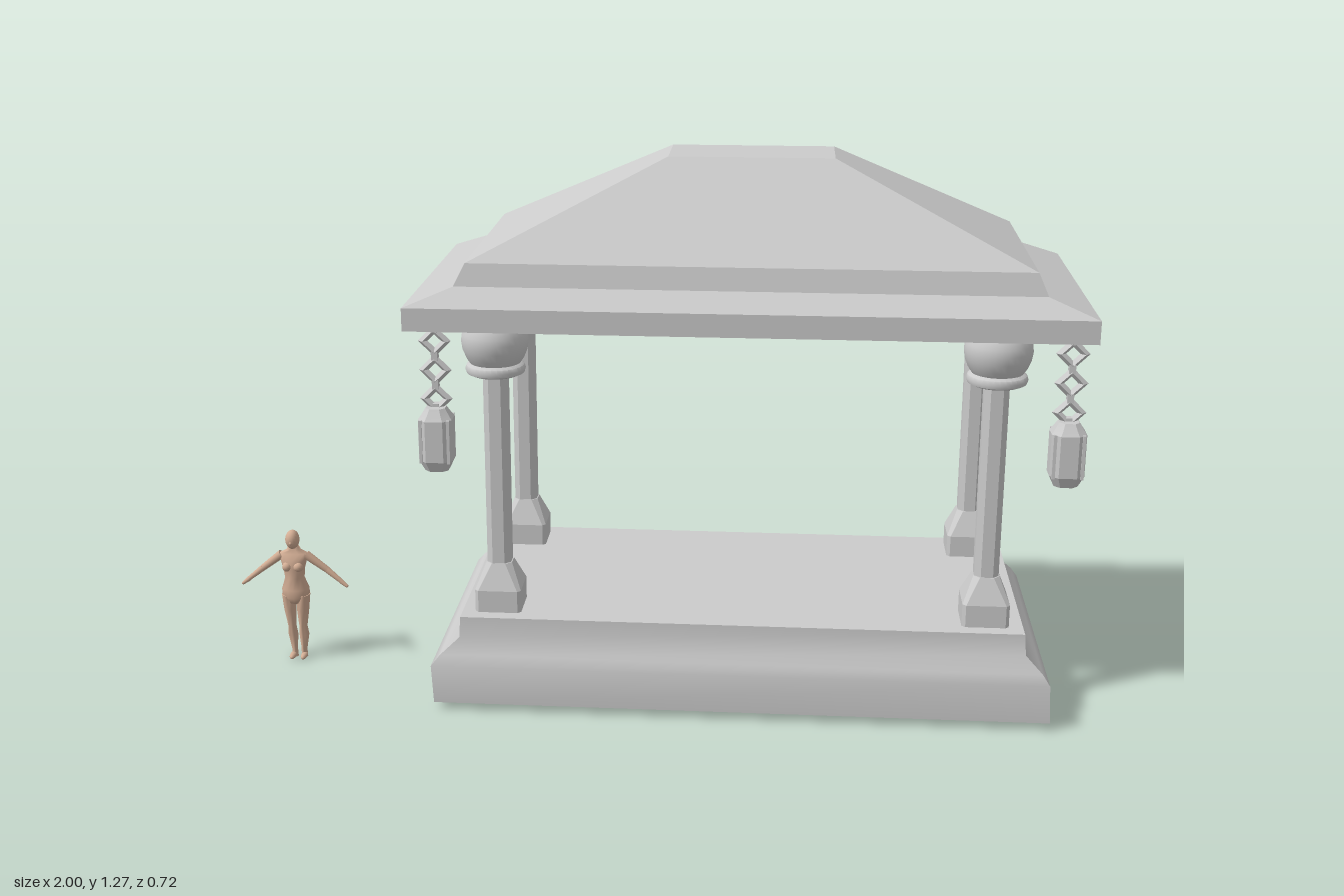
import * as THREE from 'three';
import { toCreasedNormals } from 'three/addons/utils/BufferGeometryUtils.js';

const stone = new THREE.MeshStandardMaterial({ color: 0xcccccc });
const skin = new THREE.MeshStandardMaterial({ color: 0xd2ad94 });

function add(parent, name, geometry, material = stone) {
  const mesh = new THREE.Mesh(geometry, material);
  mesh.name = name;
  parent.add(mesh);
  return mesh;
}

// Skin a stack of cross-sections (each a loop of [x, y, z], bottom to top) and cap both ends
function loft(rings, crease) {
  const n = rings[0].length, index = [], last = (rings.length - 1) * n;
  for (let i = 0; i < rings.length - 1; i++) {
    for (let j = 0; j < n; j++) {
      const a = i * n + j, b = i * n + (j + 1) % n;
      index.push(a, b, b + n, a, b + n, a + n);
    }
  }
  for (let j = 1; j < n - 1; j++) {
    index.push(0, j + 1, j, last, last + j, last + j + 1);
  }
  const g = new THREE.BufferGeometry();
  g.setAttribute('position', new THREE.Float32BufferAttribute(rings.flat(2), 3));
  g.setIndex(index);
  return toCreasedNormals(g, crease);
}

// Cross-section loops, counter-clockwise seen from above
const rect = ([y, x0, x1, z0, z1]) => [[x0, y, z1], [x1, y, z1], [x1, y, z0], [x0, y, z0]];
const chamfered = ([y, h, c]) => [
  [-h + c, y, h], [h - c, y, h], [h, y, h - c], [h, y, -h + c],
  [h - c, y, -h], [-h + c, y, -h], [-h, y, -h + c], [-h, y, h - c]];
const ellipse = ([x, y, z, rx, rz]) => Array.from({ length: 14 }, (_, i) => {
  const t = i / 14 * Math.PI * 2;
  return [x + rx * Math.sin(t), y, z + rz * Math.cos(t)];
});

function createColumn() {
  const column = new THREE.Group();
  add(column, 'columnFoot', loft([
    [0.222, 0.054, 0.008], [0.275, 0.054, 0.008], [0.335, 0.03, 0.014]].map(chamfered), 0.3));
  add(column, 'columnShaft', loft([[0.33, 0.028, 0.014], [0.8, 0.028, 0.014]].map(chamfered), 0.3));
  // Collar, rounded bowl and flat disc turned as one profile
  const profile = [
    [0, 0.79], [0.055, 0.79], [0.066, 0.795], [0.069, 0.804], [0.066, 0.813], [0.058, 0.818],
    [0.066, 0.83], [0.074, 0.85], [0.077, 0.87], [0.075, 0.885], [0.069, 0.9], [0.064, 0.908],
    [0.095, 0.911], [0.113, 0.917], [0.113, 0.922], [0, 0.925]];
  add(column, 'columnCapital', toCreasedNormals(
    new THREE.LatheGeometry(profile.map(([r, y]) => new THREE.Vector2(r, y)), 32), 0.7));
  return column;
}

function createLantern() {
  const lantern = new THREE.Group();
  // Diamond links alternate with small cross-turned connectors
  for (let i = 0; i < 3; i++) {
    const link = add(lantern, 'chainLink',
      toCreasedNormals(new THREE.TorusGeometry(0.026, 0.011, 4, 4), 0.3));
    link.position.set(0, 0.895 - i * 0.066, -0.007);
  }
  for (const y of [0.926, 0.862, 0.796, 0.742]) {
    add(lantern, 'chainConnector', new THREE.BoxGeometry(0.014, 0.02, 0.02)).position.set(0, y, -0.007);
  }
  add(lantern, 'lanternBody', loft([
    [0.6, 0.026, 0.013], [0.625, 0.038, 0.018], [0.72, 0.038, 0.018],
    [0.732, 0.03, 0.015], [0.745, 0.022, 0.011]].map(chamfered), 0.3));
  // Raised corner bars and rims
  for (const sx of [-1, 1]) for (const sz of [-1, 1]) {
    add(lantern, 'lanternBar', new THREE.BoxGeometry(0.007, 0.1, 0.007))
      .position.set(sx * 0.031, 0.672, sz * 0.031);
  }
  return lantern;
}

function limb(parent, name, a, b, ra, rb) {
  const p = new THREE.Vector3(...a), q = new THREE.Vector3(...b);
  const mesh = add(parent, name, new THREE.CylinderGeometry(rb, ra, p.distanceTo(q), 12), skin);
  mesh.position.copy(p).add(q).multiplyScalar(0.5);
  mesh.quaternion.setFromUnitVectors(new THREE.Vector3(0, 1, 0), q.clone().sub(p).normalize());
  const joint = add(parent, name + 'Joint', new THREE.SphereGeometry(rb, 12, 8), skin);
  joint.position.copy(q);
}

function createFigure() {
  const figure = new THREE.Group();
  figure.name = 'figure';
  add(figure, 'torso', loft([
    [0, 0.15, 0, 0.02, 0.018], [0, 0.165, -0.002, 0.034, 0.026], [0, 0.185, -0.003, 0.034, 0.025],
    [0, 0.215, 0, 0.024, 0.018], [0, 0.24, 0.002, 0.027, 0.02], [0, 0.262, 0, 0.033, 0.02],
    [0, 0.278, -0.003, 0.036, 0.015], [0, 0.286, -0.004, 0.018, 0.012],
    [0, 0.305, -0.002, 0.01, 0.011]].map(ellipse), 1.2), skin);
  const head = add(figure, 'head', new THREE.SphereGeometry(1, 18, 14), skin);
  head.scale.set(0.017, 0.024, 0.021);
  head.position.set(0, 0.315, 0.003);
  const nose = add(figure, 'nose', new THREE.SphereGeometry(0.004, 8, 6), skin);
  nose.position.set(0, 0.311, 0.023);
  for (const s of [-1, 1]) {
    const chest = add(figure, 'chest', new THREE.SphereGeometry(0.012, 12, 10), skin);
    chest.position.set(s * 0.014, 0.247, 0.015);
    add(figure, 'leg', loft([
      [s * 0.012, 0, -0.006, 0.008, 0.009], [s * 0.012, 0.02, -0.006, 0.007, 0.008],
      [s * 0.014, 0.06, -0.006, 0.012, 0.013], [s * 0.014, 0.085, -0.001, 0.01, 0.011],
      [s * 0.016, 0.13, 0, 0.015, 0.017], [s * 0.018, 0.17, -0.002, 0.017, 0.022]].map(ellipse), 1.2), skin);
    const foot = add(figure, 'foot', new THREE.SphereGeometry(1, 12, 8), skin);
    foot.scale.set(0.008, 0.007, 0.021);
    foot.position.set(s * 0.014, 0.007, 0.006);
    limb(figure, 'upperArm', [s * 0.03, 0.274, -0.003], [s * 0.08, 0.235, -0.005], 0.011, 0.008);
    limb(figure, 'forearm', [s * 0.08, 0.235, -0.005], [s * 0.117, 0.206, 0], 0.008, 0.0055);
    limb(figure, 'hand', [s * 0.115, 0.207, 0], [s * 0.13, 0.196, 0.003], 0.006, 0.004);
  }
  return figure;
}

export function createModel() {
  const model = new THREE.Group();
  model.name = 'pavilion';

  // Plinth with a soft shoulder: height, x range, z range
  add(model, 'plinth', loft([
    [0.018, -0.474, 0.954, -0.358, 0.32], [0.11, -0.479, 0.949, -0.355, 0.32],
    [0.135, -0.458, 0.932, -0.345, 0.31], [0.172, -0.415, 0.894, -0.328, 0.29],
    [0.222, -0.412, 0.89, -0.325, 0.287]].map(rect), 1.0));

  // Hipped roof over a wide eave
  add(model, 'roof', loft([
    [0.925, -0.508, 0.997, -0.336, 0.358], [0.977, -0.508, 0.997, -0.336, 0.358],
    [1.017, -0.4, 0.89, -0.288, 0.312], [1.067, -0.375, 0.868, -0.278, 0.3],
    [1.275, 0.058, 0.432, -0.08, 0.097]].map(rect), 0.1));

  for (const x of [-0.328, 0.803]) for (const z of [-0.247, 0.2]) {
    const column = createColumn();
    column.name = 'column';
    column.position.set(x, 0, z);
    model.add(column);
  }

  for (const x of [-0.444, 0.948]) {
    const lantern = createLantern();
    lantern.name = 'hangingLantern';
    lantern.position.set(x, 0, 0.326);
    model.add(lantern);
  }

  const figure = createFigure();
  figure.position.set(-0.866, 0, 0.055);
  model.add(figure);
  return model;
}
